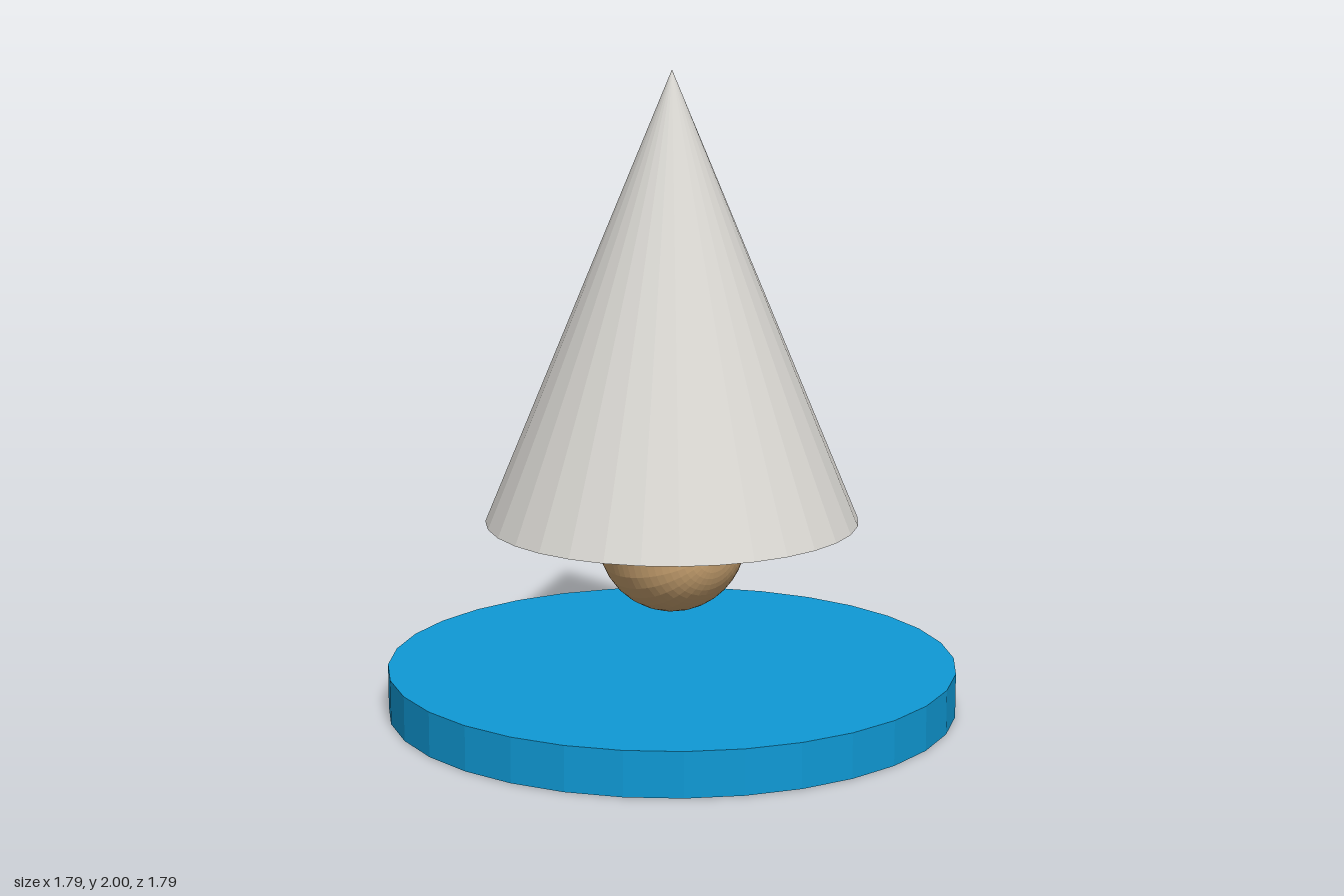
import * as THREE from 'three';

const flat = (geometry) => {
  const g = geometry.index ? geometry.toNonIndexed() : geometry;
  g.computeVertexNormals();
  return g;
};

const material = (name, color) => {
  const m = new THREE.MeshStandardMaterial({ color });
  m.name = name;
  return m;
};

export function createModel() {
  const group = new THREE.Group();
  const blue = material('blue', 0x0f9ad6);
  const paleGrey = material('pale grey', 0xdad8d3);
  const tan = material('tan', 0xd6ad78);

  const add = (name, geometry, mat, y) => {
    const mesh = new THREE.Mesh(flat(geometry), mat);
    mesh.name = name;
    mesh.position.y = y;
    group.add(mesh);
  };

  // Faceted round base
  add('baseDisc', new THREE.CylinderGeometry(0.893, 0.893, 0.14, 32), blue, 0.07);

  // Ball tucked into the underside of the cone, poles along z
  add('ball', new THREE.SphereGeometry(0.232, 32, 32).rotateX(Math.PI / 2), tan, 0.543);

  // Closed cone floating above the base
  add('cone', new THREE.ConeGeometry(0.582, 1.4, 32), paleGrey, 1.3);

  return group;
}
